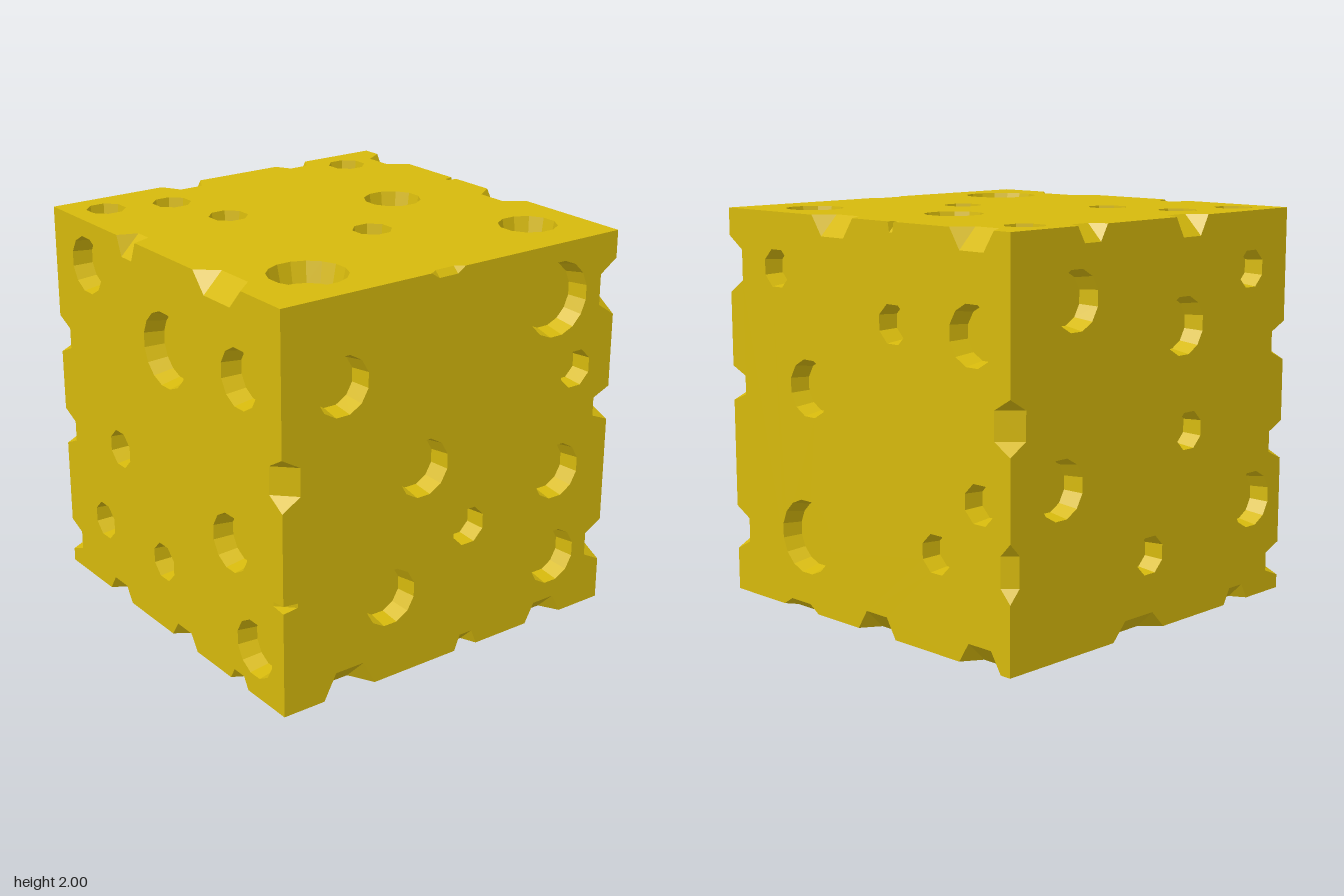
import * as THREE from 'three';

const DEPTH = 0.1;   // depth of pits and of ordinary notches
const TAPER = 0.88;  // pit floor size against its rim
const SIZES = {      // radius and number of sides of the three pit sizes
  small: [.1, 8],
  medium: [.147, 12],
  large: [.19, 16],
};

// Pit centres per face, as (x, y), (z, y) or (x, z)
const FACES = [
  { name: 'front', axis: 2, sign: 1, large: [[.62, 1.72]], small: [[.76, 1.335], [.095, .67]],
    medium: [[-.665, 1.57], [-.19, 1.05], [.665, .81], [.665, .335], [-.38, .43]] },
  { name: 'back', axis: 2, sign: -1, large: [], small: [[-.71, 1.71], [-.24, .955], [.04, .38]],
    medium: [[.575, 1.665], [-.19, 1.475], [.67, .81], [-.76, .52]] },
  { name: 'left', axis: 0, sign: 1, large: [[.43, .385]], medium: [[-.76, 1.525], [.385, 1.145]],
    small: [[.62, 1.72], [-.235, 1.525], [-.805, .765], [-.52, .48]] },
  { name: 'right', axis: 0, sign: -1, large: [[.04, 1.53]], small: [[-.43, .86], [-.04, .38], [-.625, .385]],
    medium: [[-.68, 1.77], [.67, 1.58], [.57, .73], [.76, .25]] },
  { name: 'top', axis: 1, sign: 1, large: [[-.615, .665]], medium: [[.475, -.1], [.715, .665]],
    small: [[-.805, -.81], [-.475, -.715], [.715, -.81], [-.38, -.335], [.05, .28]] },
  { name: 'bottom', axis: 1, sign: -1, large: [[-.46, .32]], medium: [[.65, .31], [-.67, -.67]],
    small: [[.53, -.615], [-.04, -.33], [.14, .29], [.19, .72]] },
];

// Notches per edge in rising order: [from, to, depth if not ordinary]
const NOTCHES = {
  topFront: [[-.17, .03, .03]],
  topBack: [[-.36, -.12], [.37, .57, .08]],
  bottomFront: [[-.77, -.47, .13], [.03, .17, .08], [.5, .74]],
  bottomBack: [[-.74, -.55, .08], [-.07, .3, .09]],
  frontLeft: [[.22, .45], [1.01, 1.19], [1.57, 1.86]],
  frontRight: [[.54, .58, .08], [1.04, 1.3]],
  backLeft: [[.34, .62, .06], [1.01, 1.27]],
  backRight: [[.07, .25], [.7, .9], [1.22, 1.42]],
  leftTop: [[-.9, -.62], [-.25, -.21, .05], [.04, .34]],
  leftBottom: [[-.94, -.67], [-.23, .04], [.35, .62, .04]],
  rightTop: [[-.37, -.2], [.31, .7]],
  rightBottom: [[-.6, -.38, .08], [.02, .25, .08], [.55, .7, .06]],
};

// The twelve edges, named in the order the axis and sign loops meet them
const EDGES = Object.values(NOTCHES).map((cuts, k) => {
  const axis = Math.floor(k / 4), sp = k % 4 < 2 ? 1 : -1, sq = k % 2 ? -1 : 1;
  const lift = axis === 1 ? 1 : 0; // heights become relative to the centre
  const outlines = cuts.map(([from, to, d = DEPTH]) => {
    const flare = (to - from) * .23;
    return [[from, 0], [from + flare, d], [to - flare, d], [to, 0]].map(([t, e]) => [t - lift, e]);
  });
  return { axis, sp, sq, signs: point(axis, 0, sp, sq).toArray(), outlines };
});

// Point from values on three cyclic axes starting at axis i
function point(i, n, a, b) {
  const c = [];
  c[i] = n;
  c[(i + 1) % 3] = a;
  c[(i + 2) % 3] = b;
  return new THREE.Vector3(...c);
}

// Collects flat triangles and turns them into a mesh
class Patch {
  constructor() { this.points = []; }
  tri(a, b, c, flip) {
    const area = b.clone().sub(a).cross(c.clone().sub(a)).length();
    if (area > 1e-9) this.points.push(...(flip ? [a, c, b] : [a, b, c]));
  }
  quad(a, b, c, d, flip) {
    this.tri(a, b, c, flip);
    this.tri(a, c, d, flip);
  }
  mesh(name, material) {
    const geometry = new THREE.BufferGeometry().setFromPoints(this.points);
    geometry.computeVertexNormals();
    const mesh = new THREE.Mesh(geometry, material);
    mesh.name = name;
    return mesh;
  }
}

// Square outline of one face, counter-clockwise, with its edge notches
function faceOutline(axis, sign) {
  const u = (axis + 1) % 3, v = (axis + 2) % 3, pts = [];
  for (const [run, fixed, q, forward] of [[u, v, -1, true], [v, u, 1, true], [u, v, 1, false], [v, u, -1, false]]) {
    const edge = EDGES.find(e => e.axis === run && e.signs[fixed] === q && e.signs[axis] === sign);
    const side = [[-1, 0], ...edge.outlines.flat(), [1, 0]];
    if (!forward) side.reverse();
    for (const [t, d] of side.slice(0, -1)) {
      const w = q * (1 - d);
      pts.push(run === u ? new THREE.Vector2(t, w) : new THREE.Vector2(w, t));
    }
  }
  return pts;
}

// Regular polygon for a pit rim or floor
function ring(a, b, r, sides) {
  return Array.from({ length: sides }, (_, k) => {
    const t = (k + .5) / sides * Math.PI * 2;
    return new THREE.Vector2(a + r * Math.cos(t), b + r * Math.sin(t));
  });
}

// Pit centre in the face's own two cyclic axes
function faceCentre(axis, p, q) {
  if (axis === 0) return [q - 1, p];
  return axis === 1 ? [q, p] : [p, q - 1];
}

export function createModel() {
  const model = new THREE.Group();
  model.name = 'cheeseCube';
  const body = new THREE.Group();
  body.name = 'body';
  body.position.y = 1;
  model.add(body);
  const material = new THREE.MeshStandardMaterial({ color: 0xd6b90c, flatShading: true });

  for (const face of FACES) {
    const { name, axis, sign } = face, flip = sign < 0;
    const skin = new Patch(), pits = new Patch();
    const shape = new THREE.Shape(faceOutline(axis, sign));
    const low = sign * (1 - DEPTH);
    for (const [size, [r, sides]] of Object.entries(SIZES)) {
      for (const [p, q] of face[size]) {
        // tapered wall and flat floor
        const [a, b] = faceCentre(axis, p, q);
        const rim = ring(a, b, r, sides);
        shape.holes.push(new THREE.Path(rim));
        const P = rim.map(c => point(axis, sign, c.x, c.y));
        const Q = ring(a, b, r * TAPER, sides).map(c => point(axis, low, c.x, c.y));
        const centre = point(axis, low, a, b);
        for (let k = 0; k < sides; k++) {
          const j = (k + 1) % sides;
          pits.quad(P[k], P[j], Q[j], Q[k], flip);
          pits.tri(centre, Q[k], Q[j], flip);
        }
      }
    }
    // pierced face
    const flat = new THREE.ShapeGeometry(shape).toNonIndexed().attributes.position;
    const at = k => point(axis, sign, flat.getX(k), flat.getY(k));
    for (let k = 0; k < flat.count; k += 3) skin.tri(at(k), at(k + 1), at(k + 2), flip);
    body.add(skin.mesh(name + 'Face', material), pits.mesh(name + 'Pits', material));
  }

  // slanted cut surfaces along the edges
  const notches = new Patch();
  for (const { axis, sp, sq, outlines } of EDGES) {
    for (const o of outlines) {
      const A = o.map(([t, d]) => point(axis, t, sp, sq * (1 - d)));
      const B = o.map(([t, d]) => point(axis, t, sp * (1 - d), sq));
      for (let k = 0; k < 3; k++) notches.quad(A[k], A[k + 1], B[k + 1], B[k], sp * sq > 0);
    }
  }
  body.add(notches.mesh('edgeNotches', material));
  return model;
}
